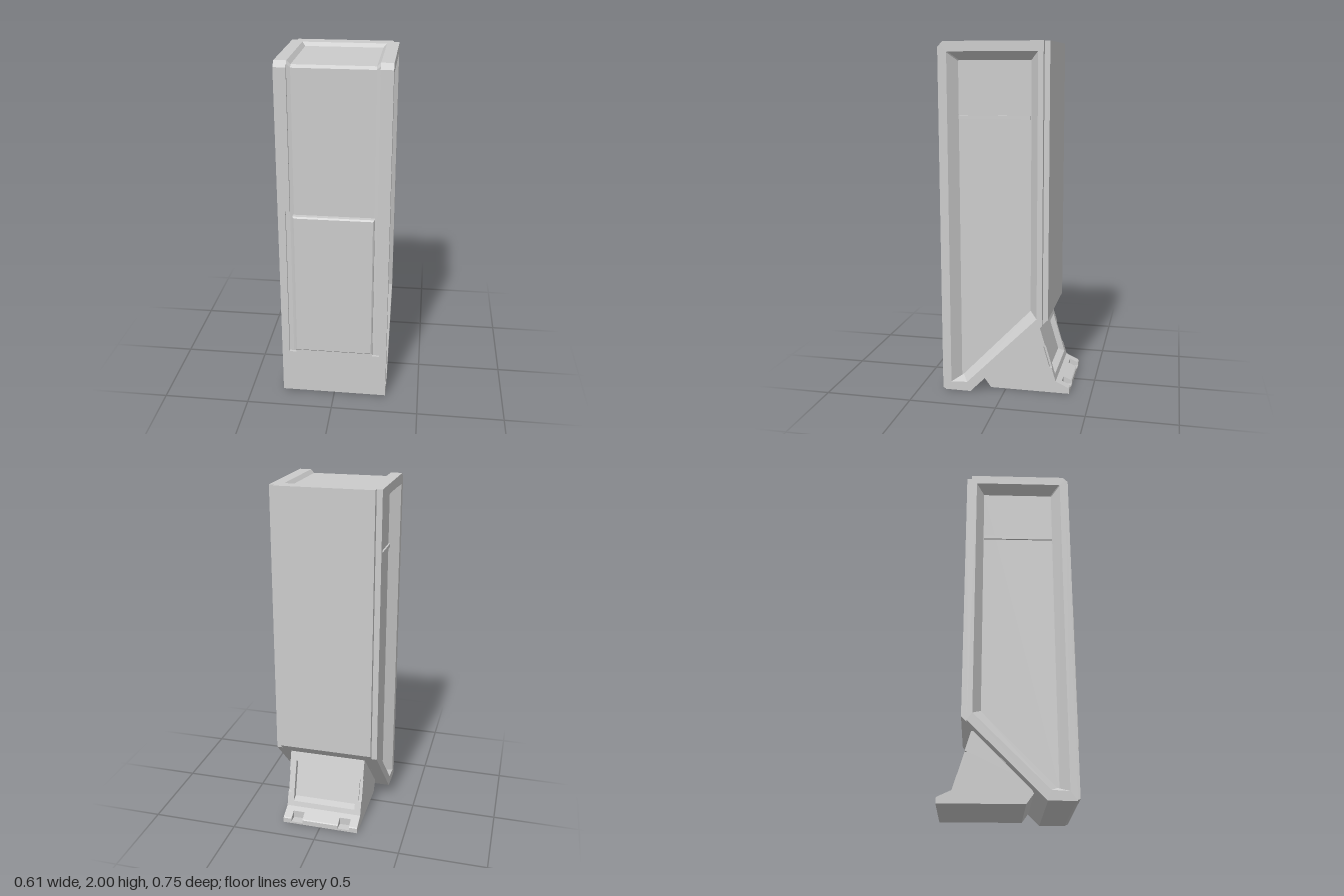
import * as THREE from 'three';

const material = new THREE.MeshStandardMaterial({ color: 0xcccccc, flatShading: true });

function addMesh(parent, name, geometry) {
  const mesh = new THREE.Mesh(geometry, material);
  mesh.name = name;
  parent.add(mesh);
  return mesh;
}

// Extrude a side profile of [z, y] points from x0 to x1.
function sideExtrude(points, x0, x1) {
  const shape = new THREE.Shape(points.map(([z, y]) => new THREE.Vector2(-z, y)));
  const geometry = new THREE.ExtrudeGeometry(shape, { depth: x1 - x0, bevelEnabled: false });
  return geometry.rotateY(Math.PI / 2).translate(x0, 0, 0);
}

// Skin a list of { x, loop of [z, y] } rings and cap the last one.
function skinRings(rings, side) {
  const positions = [];
  const tri = (a, b, c) => {
    for (const p of side > 0 ? [a, b, c] : [a, c, b]) positions.push(...p);
  };
  const loops = rings.map(({ x, loop }) => loop.map(([z, y]) => [x * side, y, z]));
  const n = loops[0].length;
  for (let k = 0; k < loops.length - 1; k++) {
    for (let i = 0; i < n; i++) {
      const j = (i + 1) % n;
      tri(loops[k][i], loops[k + 1][i], loops[k][j]);
      tri(loops[k][j], loops[k + 1][i], loops[k + 1][j]);
    }
  }
  const cap = loops[loops.length - 1];
  for (let i = 1; i < n - 1; i++) tri(cap[0], cap[i + 1], cap[i]);
  const geometry = new THREE.BufferGeometry();
  geometry.setAttribute('position', new THREE.Float32BufferAttribute(positions, 3));
  geometry.computeVertexNormals();
  return geometry;
}

// Foot profile, optionally with the sunken back window and the toe notch.
function footProfile(window, notch, dent) {
  const slope = (y, inset = 0) => [-0.2 - (0.39 - y) * 0.297 + inset, y];
  const p = [[0.09, 0], [0.13, 0.055], [0.1, 0.12], [-0.17, 0.39], [-0.2, 0.39]];
  if (window) p.push(slope(0.34), slope(0.325, 0.035), slope(0.115, 0.035), slope(0.1));
  if (dent) p.push(slope(0.28), slope(0.277, 0.012), slope(0.153, 0.012), slope(0.15));
  p.push([-0.295, 0.07]);
  if (notch) p.push([-0.325, 0.056], [-0.325, 0.012], [-0.375, 0.012]);
  else p.push([-0.37, 0.035], [-0.375, 0.03]);
  p.push([-0.375, 0]);
  return p;
}

export function createModel() {
  const model = new THREE.Group();
  model.name = 'cabinet';

  // Central body with lowered front and top, raised rim at the back of the top
  addMesh(model, 'body', sideExtrude([
    [0.34, 0], [0.34, 1.965], [0.325, 1.98], [-0.15, 1.98], [-0.17, 2],
    [-0.255, 2], [-0.255, 0.455], [0.195, 0],
  ], -0.24, 0.24));

  // Back panel, stepped in from the sides
  addMesh(model, 'backPanel', sideExtrude([
    [-0.22, 2], [-0.255, 2], [-0.255, 0.455], [-0.22, 0.42],
  ], -0.275, 0.275));

  // Side frames with sloped recesses
  const lowered = [[0.34, 0], [0.34, 1.965], [0.325, 1.98], [-0.225, 1.98], [-0.225, 0.425], [0.195, 0]];
  const outer = [[0.345, 0], [0.345, 1.985], [0.33, 2], [-0.225, 2], [-0.225, 0.425], [0.195, 0]];
  const opening = [[0.31, 0.05], [0.31, 1.94], [0.305, 1.945], [-0.195, 1.945], [-0.195, 0.465], [0.215, 0.055]];
  const floor = [[0.26, 0.07], [0.26, 1.895], [0.255, 1.9], [-0.15, 1.9], [-0.15, 0.495], [0.25, 0.08]];
  for (const side of [1, -1]) {
    const label = side > 0 ? 'left' : 'right';
    addMesh(model, label + 'SideFrame', skinRings([
      { x: 0.22, loop: lowered }, { x: 0.24, loop: outer }, { x: 0.307, loop: outer },
      { x: 0.307, loop: opening }, { x: 0.25, loop: floor },
    ], side));
    // Thin ledge across the recess
    addMesh(model, label + 'SideLedge', new THREE.BoxGeometry(0.02, 0.02, 0.405))
      .position.set(side * 0.25, 1.59, 0.055);
  }

  // Front skin cut out for the upper channel and the lower door
  const half = [[0.307, 0], [0.307, 1.97], [0.24, 1.97], [0.24, 1.18], [0.265, 1.18],
    [0.265, 0.28], [0.225, 0.28], [0.225, 0.3]];
  const outline = [...half, ...half.map(([x, y]) => [-x, y]).reverse()];
  const skin = new THREE.ExtrudeGeometry(
    new THREE.Shape(outline.map(([x, y]) => new THREE.Vector2(x, y))),
    { depth: 0.025, bevelEnabled: false }).translate(0, 0, 0.335);
  const pos = skin.attributes.position;
  for (let i = 0; i < pos.count; i++) {
    // Slope the top edge, chamfer the bottom edge
    if (pos.getY(i) > 1.96 && pos.getZ(i) < 0.35) pos.setXYZ(i, pos.getX(i), 1.985, 0.345);
    if (pos.getY(i) < 0.001 && pos.getZ(i) > 0.35) pos.setY(i, 0.01);
  }
  skin.computeVertexNormals();
  addMesh(model, 'frontSkin', skin);

  // Raised lower door with a bevelled edge
  const b = 0.008;
  const door = new THREE.Shape([[-1, 0.3 + b], [1, 0.3 + b], [1, 1.155 - b], [-1, 1.155 - b]]
    .map(([s, y]) => new THREE.Vector2(s * (0.225 - b), y)));
  addMesh(model, 'frontDoor', new THREE.ExtrudeGeometry(door, {
    depth: 0.375 - 0.33 - 2 * b, bevelSize: b, bevelThickness: b, bevelSegments: 1,
  }).translate(0, 0, 0.33 + b));

  // Foot assembled from slices across its width
  const foot = new THREE.Group();
  foot.name = 'foot';
  model.add(foot);
  addMesh(foot, 'footCentre', sideExtrude(footProfile(true, false, false), -0.11, 0.11));
  const slices = [
    ['footNotch', 0.11, 0.178, true, true, false],
    ['footInner', 0.178, 0.19, true, false, false],
    ['footCheek', 0.19, 0.21, false, false, false],
    ['footEdge', 0.21, 0.228, false, false, true],
  ];
  for (const [name, x0, x1, ...cuts] of slices) {
    addMesh(foot, name + 'Left', sideExtrude(footProfile(...cuts), x0, x1));
    addMesh(foot, name + 'Right', sideExtrude(footProfile(...cuts), -x1, -x0));
  }
  return model;
}
